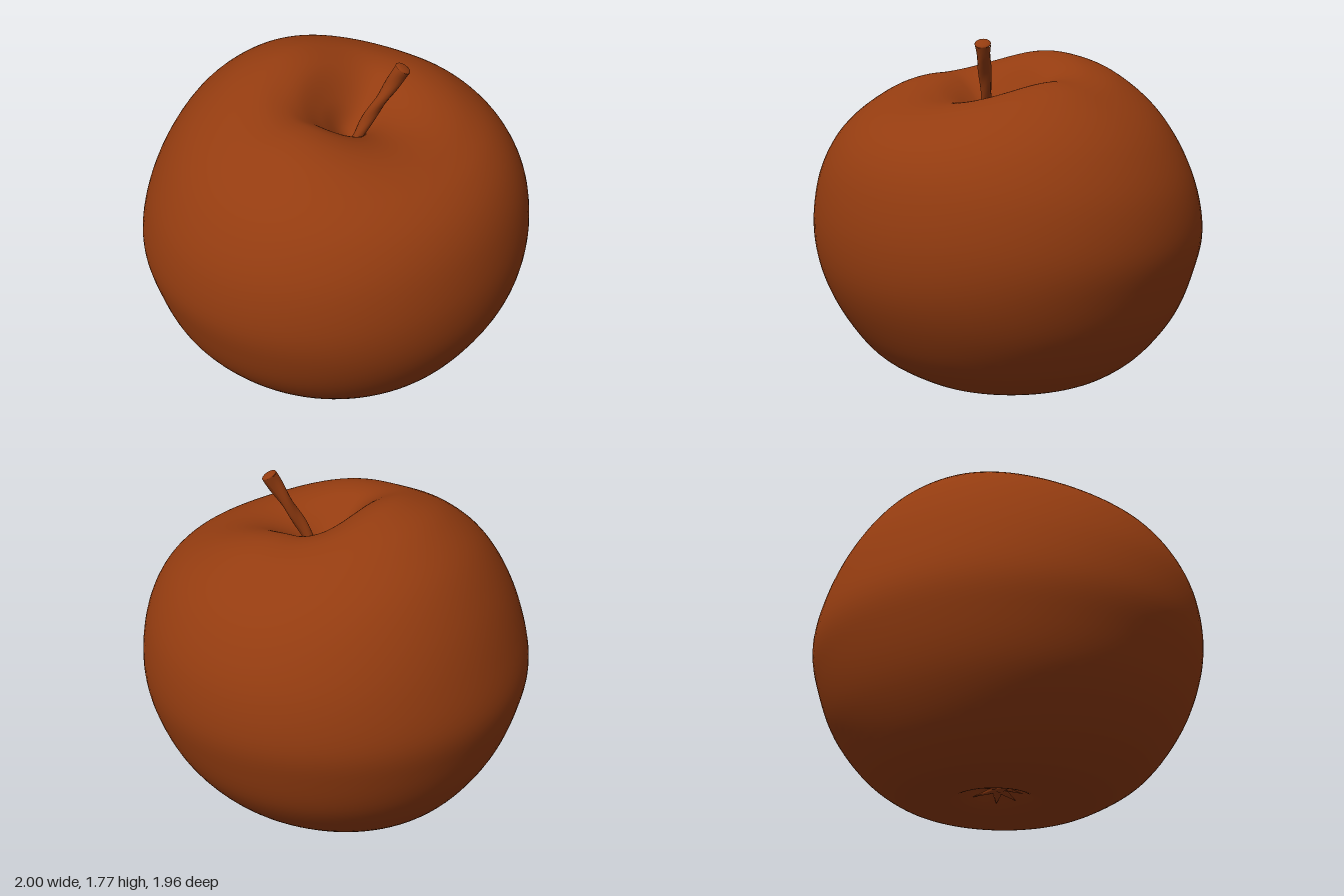
import * as THREE from 'three';

const skin = new THREE.MeshStandardMaterial({ color: 0x943c10 });
skin.name = 'russet brown';

// Rings from the calyx hollow up to the stem hollow:
// front height, front reach, side height, side reach, back height, back reach
const RINGS = [
  [0.14, -0.07, 0.14, 0, 0.14, 0.07],
  [0.12, 0.01, 0.12, 0.08, 0.12, 0.15],
  [0.06, 0.1, 0.05, 0.16, 0.06, 0.24],
  [0.025, 0.2, 0.015, 0.26, 0.015, 0.34],
  [0.02, 0.35, 0.015, 0.38, 0.02, 0.48],
  [0.07, 0.5, 0.07, 0.53, 0.07, 0.6],
  [0.2, 0.7, 0.2, 0.71, 0.2, 0.74],
  [0.4, 0.85, 0.4, 0.87, 0.4, 0.87],
  [0.62, 0.95, 0.62, 0.96, 0.62, 0.95],
  [0.85, 0.98, 0.82, 1, 0.82, 0.98],
  [1.08, 0.95, 1.05, 0.97, 1.05, 0.93],
  [1.25, 0.88, 1.25, 0.88, 1.28, 0.84],
  [1.37, 0.77, 1.4, 0.76, 1.48, 0.71],
  [1.44, 0.63, 1.52, 0.6, 1.62, 0.54],
  [1.47, 0.5, 1.57, 0.46, 1.68, 0.38],
  [1.47, 0.38, 1.57, 0.34, 1.685, 0.26],
  [1.45, 0.28, 1.53, 0.25, 1.63, 0.14],
  [1.41, 0.2, 1.45, 0.15, 1.5, 0.04],
  [1.36, 0.15, 1.38, 0.07, 1.38, -0.03],
  [1.33, 0.1, 1.33, 0, 1.33, -0.1],
];

// Lopsided body: smooth rings whose height and reach vary around the axis
function bodyGeometry(rows = 114, cols = 96) {
  const spline = (first) => new THREE.CatmullRomCurve3(
    RINGS.map((r) => new THREE.Vector3(r[first], r[first + 2], r[first + 4])), false, 'catmullrom', 0.5);
  const heights = spline(0), reaches = spline(1);
  const positions = [], index = [];
  for (let i = 0; i <= rows; i++) {
    const h = heights.getPoint(i / rows), r = reaches.getPoint(i / rows);
    for (let j = 0; j < cols; j++) {
      const a = (j / cols) * Math.PI * 2, s = Math.sin(a), c = Math.cos(a);
      const y = h.y * s * s + (c > 0 ? h.x : h.z) * c * c;
      positions.push(r.y * s, y, (r.x - r.z) / 2 + c * (r.x + r.z) / 2);
      if (i < rows) {
        const k = (j + 1) % cols, p = i * cols, q = p + cols;
        index.push(p + j, p + k, q + k, p + j, q + k, q + j);
      }
    }
  }
  const g = new THREE.BufferGeometry();
  g.setAttribute('position', new THREE.Float32BufferAttribute(positions, 3));
  g.setIndex(index);
  g.computeVertexNormals();
  return g;
}

// Leaning stem with a knobbly surface and a flared, closed tip
function stemGeometry(rows = 20, cols = 14) {
  const path = new THREE.CatmullRomCurve3([
    new THREE.Vector3(-0.02, 1.3, 0.12), new THREE.Vector3(0.02, 1.45, 0.17),
    new THREE.Vector3(0.075, 1.6, 0.235), new THREE.Vector3(0.13, 1.755, 0.305)]);
  const g = new THREE.TubeGeometry(path, rows, 1, cols, false);
  const pos = g.attributes.position, v = new THREE.Vector3();
  for (let i = 0; i <= rows; i++) {
    const t = i / rows, centre = path.getPointAt(t);
    for (let j = 0; j <= cols; j++) {
      const n = i * (cols + 1) + j, a = (j / cols) * Math.PI * 2;
      const radius = 0.028 + 0.012 * Math.pow(t, 4) + 0.003 * Math.sin(a * 2 + t * 14);
      v.fromBufferAttribute(pos, n).sub(centre).multiplyScalar(radius).add(centre);
      pos.setXYZ(n, v.x, v.y, v.z);
    }
  }
  g.computeVertexNormals();
  return { g, tip: path.getPointAt(1), direction: path.getTangentAt(1) };
}

export function createModel() {
  const group = new THREE.Group();
  const add = (name, geometry, parent = group) => {
    const mesh = new THREE.Mesh(geometry, skin);
    mesh.name = name;
    parent.add(mesh);
    return mesh;
  };

  add('body', bodyGeometry());

  const { g, tip, direction } = stemGeometry();
  add('stem', g);
  const cap = add('stemTip', new THREE.SphereGeometry(0.04, 14, 8));
  cap.scale.y = 0.3;
  cap.position.copy(tip);
  cap.quaternion.setFromUnitVectors(new THREE.Vector3(0, 1, 0), direction);

  // Dried calyx in the lower hollow
  const calyx = new THREE.Group();
  calyx.name = 'calyx';
  calyx.position.set(0, 0.115, -0.07);
  group.add(calyx);
  add('calyxCentre', new THREE.SphereGeometry(0.045, 12, 8), calyx).scale.y = 0.7;
  for (let i = 0; i < 6; i++) {
    const pivot = new THREE.Group();
    pivot.name = 'sepalPivot';
    pivot.rotation.y = (i / 6) * Math.PI * 2 + 0.25 * Math.sin(i * 5);
    calyx.add(pivot);
    const sepal = add('sepal', new THREE.ConeGeometry(0.035, 0.13, 8), pivot);
    sepal.scale.z = 0.4;
    sepal.position.set(0, -0.03, 0.07);
    sepal.rotation.x = Math.PI / 2 + 0.25 + 0.2 * Math.sin(i * 3);
  }
  return group;
}
